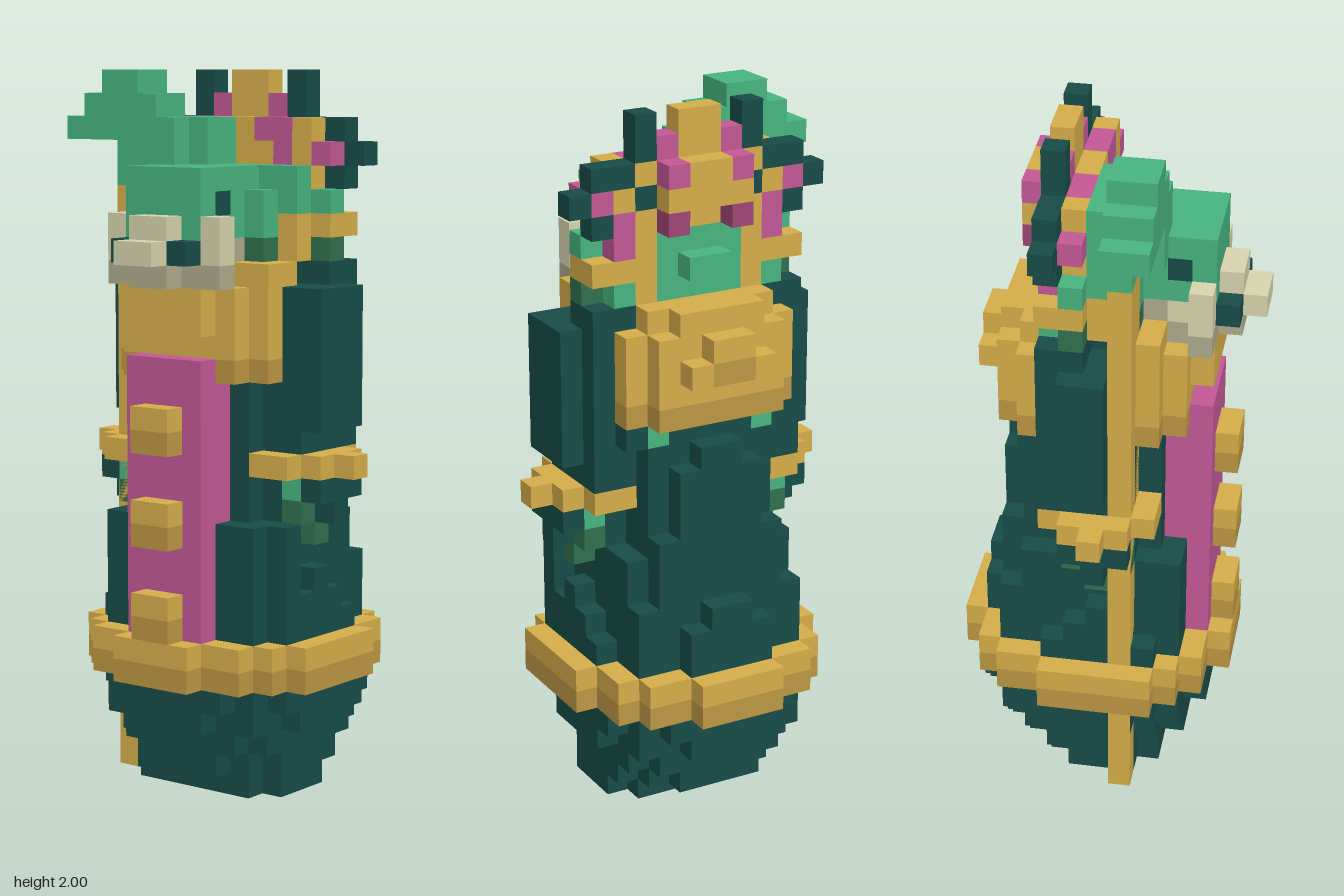
import * as THREE from 'three';

const U = 2 / 31; // edge of one block

const colours = {
  gold: 0xd6ae4a, darkGold: 0xbc9844, teal: 0x174c48, green: 0x47b57f, darkGreen: 0x32704f,
  magenta: 0xc45897, darkMagenta: 0xa04576, beige: 0xd8d5ad, darkBeige: 0xb0ab8c,
};

export function createModel() {
  const model = new THREE.Group();
  model.name = 'blockFigure';
  const mats = {};
  for (const [name, color] of Object.entries(colours)) {
    mats[name] = new THREE.MeshStandardMaterial({ color });
    mats[name].name = name;
  }

  // Box given by its limits in blocks
  const box = (name, mat, x0, x1, y0, y1, z0, z1) => {
    const g = new THREE.BoxGeometry((x1 - x0) * U, (y1 - y0) * U, (z1 - z0) * U);
    g.translate((x0 + x1) / 2 * U, (y0 + y1) / 2 * U, (z0 + z1) / 2 * U);
    const m = new THREE.Mesh(g, mats[mat]);
    m.name = name;
    model.add(m);
  };
  // The same box on both z sides
  const pair = (name, mat, x0, x1, y0, y1, z0, z1) => {
    box(name, mat, x0, x1, y0, y1, z0, z1);
    box(name, mat, x0, x1, y0, y1, -z1, -z0);
  };
  // Rounded layer made of crossed boxes: [x0, x1, half width in z]
  const layer = (name, mat, y0, y1, spans) => {
    for (const [x0, x1, h] of spans) box(name, mat, x0, x1, y0, y1, -h, h);
  };

  // Rounded base
  layer('base', 'teal', 0, 1, [[-2.5, 2.5, 3], [-1.5, 1.5, 4]]);
  layer('base', 'teal', 1, 2, [[-3.5, 4.5, 2], [-2.5, 3.5, 3], [-1.5, 2.5, 4]]);
  layer('base', 'teal', 2, 3, [[-3.5, 4.5, 3], [-2.5, 3.5, 4]]);
  layer('base', 'teal', 3, 4, [[-4.5, 5.5, 2], [-3.5, 4.5, 4], [-1.5, 2.5, 5]]);
  layer('base', 'teal', 4, 5, [[-4.5, 5.5, 3], [-3.5, 4.5, 4], [-2.5, 3.5, 5]]);

  // Hem ring
  const ring = [[-5.5, 6.5, 2], [-4.5, 5.5, 4], [-3.5, 4.5, 5], [-2.5, 2.5, 6]];
  layer('hemRing', 'darkGold', 5, 6, ring);
  layer('hemRing', 'gold', 6, 7, ring);

  // Robe with stepped folds
  layer('robe', 'teal', 7, 12, [[-3.5, 3.5, 4]]);
  layer('robe', 'teal', 12, 18, [[-2.5, 3.5, 3], [-1.5, 1.5, 4]]);
  layer('robe', 'teal', 18, 23, [[-1.5, 2.5, 3]]);
  layer('robeFold', 'teal', 7, 10, [[3.5, 4.5, 4]]);
  [[13, 3], [16, 2], [17, 1]].forEach(([top, h]) => box('robeFold', 'teal', 3.5, 4.5, 7, top, -h, h));
  [[9, 2], [10, 1]].forEach(([top, h]) => box('frontFold', 'teal', 4.5, 5.5, 7, top, -h, h));
  [[8, 2.5], [9, 1.5], [10, 0.5]].forEach(([top, h]) => pair('sideFold', 'teal', -h, h, 7, top, 4, 5));
  box('sideFold', 'teal', -2.5, -1.5, 7, 12, 4, 5);
  pair('robeTrim', 'green', 2.5, 3.52, 17, 18, 2, 3);
  pair('robeEdge', 'teal', 2.5, 3.5, 17, 18, 3, 4);

  // Cape with clasps
  box('cape', 'magenta', -4.5, -2.5, 7, 19, -2, 2);
  for (const y of [7, 11, 15]) {
    box('clasp', 'darkGold', -5.5, -4.5, y, y + 1, -1, 1);
    box('clasp', 'gold', -5.5, -4.5, y + 1, y + 2, -1, 1);
  }

  // Sleeves, bracelets and hands
  box('sleeve', 'teal', -1.5, 2.5, 15, 22, 3, 5);
  box('sleeve', 'teal', -0.5, 2.5, 15, 22, -5, -3);
  box('sleeve', 'teal', -1.5, 1.5, 16, 22, 5, 6);
  box('sleeve', 'teal', -0.5, 1.5, 16, 22, -6, -5);
  pair('sleeveCap', 'teal', 0.5, 2.5, 22, 23, 3, 5);
  pair('bracelet', 'gold', -2.5, 2.5, 14, 15, 3, 5);
  pair('bracelet', 'gold', -1.5, 1.5, 14, 15, 5, 6);
  pair('bracelet', 'gold', -0.5, 0.5, 14, 15, 6, 7);
  pair('cuff', 'teal', -1.5, 1.5, 13, 14, 5, 6);
  pair('cuff', 'teal', -0.5, 0.5, 12, 13, 5, 6);
  pair('hand', 'green', -1.5, 1.5, 13, 14, 4, 5);
  pair('hand', 'darkGreen', -1.5, 1.5, 12, 13, 4, 5);
  pair('fingers', 'darkGreen', -0.5, 0.5, 11, 12, 4, 5);

  // Staff
  box('staff', 'gold', -1.5, -0.5, 0, 15, -5.03, -4);
  box('staff', 'gold', -1.5, -0.5, 15, 26, -5, -3);

  // Mantle at the chest, with a mouth-like ridge
  box('chestMantle', 'darkGold', 2.5, 3.5, 18, 19, -4, 4);
  box('chestMantle', 'gold', 2.5, 3.5, 19, 22, -4, 4);
  box('chestMantle', 'darkGold', 3.5, 4.5, 18, 19, -3, 3);
  box('chestMantle', 'gold', 3.5, 4.5, 19, 22, -3, 3);
  box('chestMantle', 'gold', 2.5, 3.5, 22, 23, -3, 3);
  box('chestMantle', 'gold', 3.5, 4.5, 22, 23, -2, 2);
  box('chestRidge', 'gold', 4.5, 5.5, 21, 22, -1, 1);
  pair('chestRidge', 'gold', 4.5, 5.5, 20, 21, 1, 2);
  box('chestRidge', 'darkGold', 4.5, 5.5, 20, 21, -1, 1);

  // Mantle at the back
  box('backMantle', 'darkGold', -3.5, -1.5, 18, 19, -3, 3);
  box('backMantle', 'gold', -3.5, -1.5, 19, 22, -3, 3);
  pair('backMantle', 'darkGold', -2.5, -1.5, 18, 19, 3, 4);
  pair('backMantle', 'gold', -2.5, -1.5, 19, 22, 3, 4);
  box('backMantle', 'gold', -4.5, -3.5, 20, 22, -2, 2);
  box('collar', 'gold', -2.5, -0.5, 22, 23, -4, 4);
  pair('strap', 'gold', -0.5, 0.5, 23, 25, 3, 4);

  // Front face
  box('face', 'green', -0.5, 2.5, 23, 26, -2, 2);
  box('nose', 'green', 2.5, 3.5, 24, 25, -1, 1);
  pair('cheek', 'gold', 0.5, 2.5, 23, 26, 2, 3);
  pair('jaw', 'green', 0.5, 2.5, 23, 24, 3, 4);
  pair('jaw', 'darkGreen', 0.5, 1.5, 23, 24, 4, 5);
  pair('earring', 'gold', 0.5, 2.5, 24, 25, 3, 5);
  box('brow', 'gold', 0.5, 2.5, 26, 28, -2, 2);

  // Headdress, mirrored in z
  box('crest', 'gold', 1.5, 2.5, 28, 31, -1, 1);
  box('crest', 'gold', 0.5, 3.5, 27, 29, -1, 1);
  pair('feather', 'magenta', 0.5, 3.5, 28, 29, 1, 2);
  pair('feather', 'magenta', 1.5, 2.5, 29, 30, 1, 2);
  pair('feather', 'gold', 2.5, 3.5, 27, 28, 1, 2);
  pair('feather', 'darkMagenta', 2.5, 3.5, 26, 27, 1, 2);
  pair('feather', 'teal', 1.5, 2.5, 29, 31, 2, 3);
  pair('feather', 'gold', 1.5, 2.5, 28, 29, 2, 3);
  pair('feather', 'teal', 1.5, 2.5, 27, 28, 2, 3);
  pair('feather', 'magenta', 0.5, 1.5, 27, 29, 2, 3);
  pair('feather', 'gold', 0.5, 2.5, 26, 27, 2, 3);
  pair('feather', 'gold', 0.5, 1.5, 25, 29, 3, 4);
  pair('feather', 'teal', 1.5, 2.5, 28, 29, 3, 4);
  pair('feather', 'gold', 1.5, 2.5, 27, 28, 3, 4);
  pair('feather', 'magenta', 1.5, 2.5, 25, 27, 3, 4);
  pair('feather', 'teal', 1.5, 2.5, 28, 29, 4, 5);
  pair('feather', 'magenta', 0.5, 2.5, 27, 28, 4, 5);
  pair('feather', 'teal', 1.5, 2.5, 26, 27, 4, 5);
  pair('feather', 'green', 0.5, 1.5, 25, 26, 4, 5);
  pair('feather', 'teal', 1.5, 2.5, 27, 28, 5, 6);

  // Beast head at the back
  box('beastHead', 'green', -4.5, -1.5, 24, 27, -2, 2);
  box('beastHead', 'green', -2.5, 0.5, 26, 27, -2, 2);
  pair('beastNeck', 'green', -1.5, -0.5, 24, 26, 2, 3);
  box('beastNeck', 'darkGreen', -1.5, -0.5, 23, 24, -3, 3);
  box('beastNeck', 'green', -0.5, 0.5, 25, 27, -4, 4);
  pair('eye', 'teal', -3.5, -2.5, 25, 26, 1.97, 2.03);

  // Muzzle and tusks
  box('muzzle', 'beige', -5.5, -2.5, 23, 25, -1, 1);
  box('muzzleTip', 'beige', -6.5, -5.5, 23, 24, -1, 1);
  pair('nostril', 'teal', -5.5, -4.5, 23, 24, 1, 2);
  pair('lip', 'beige', -4.5, -2.5, 23, 24, 1, 2);
  pair('tusk', 'beige', -4.5, -3.5, 23, 25, 2, 3);
  pair('tusk', 'darkBeige', -4.5, -3.5, 22, 23, 2, 3);
  box('chin', 'darkBeige', -5.5, -3.5, 22, 23, -1, 1);
  pair('chin', 'darkBeige', -4.5, -2.5, 22, 23, 1, 2);
  box('lipRoot', 'darkBeige', -2.5, -1.5, 23, 24, -2, 2);

  // Mane rising in steps toward the top
  for (const [y0, y1, z0, z1] of [[26, 29, -2, -1], [26, 30, -3, -2],
    [28, 31, -5, -3], [28, 30, -6, -5], [28, 29, -7, -6]]) {
    box('mane', 'green', -2.5, -0.5, y0, y1, z0, z1);
  }
  box('mane', 'green', -1.5, 0.5, 27, 29, -4, 0);
  box('mane', 'green', -1.5, -0.5, 26, 28, -5, -3);

  return model;
}
